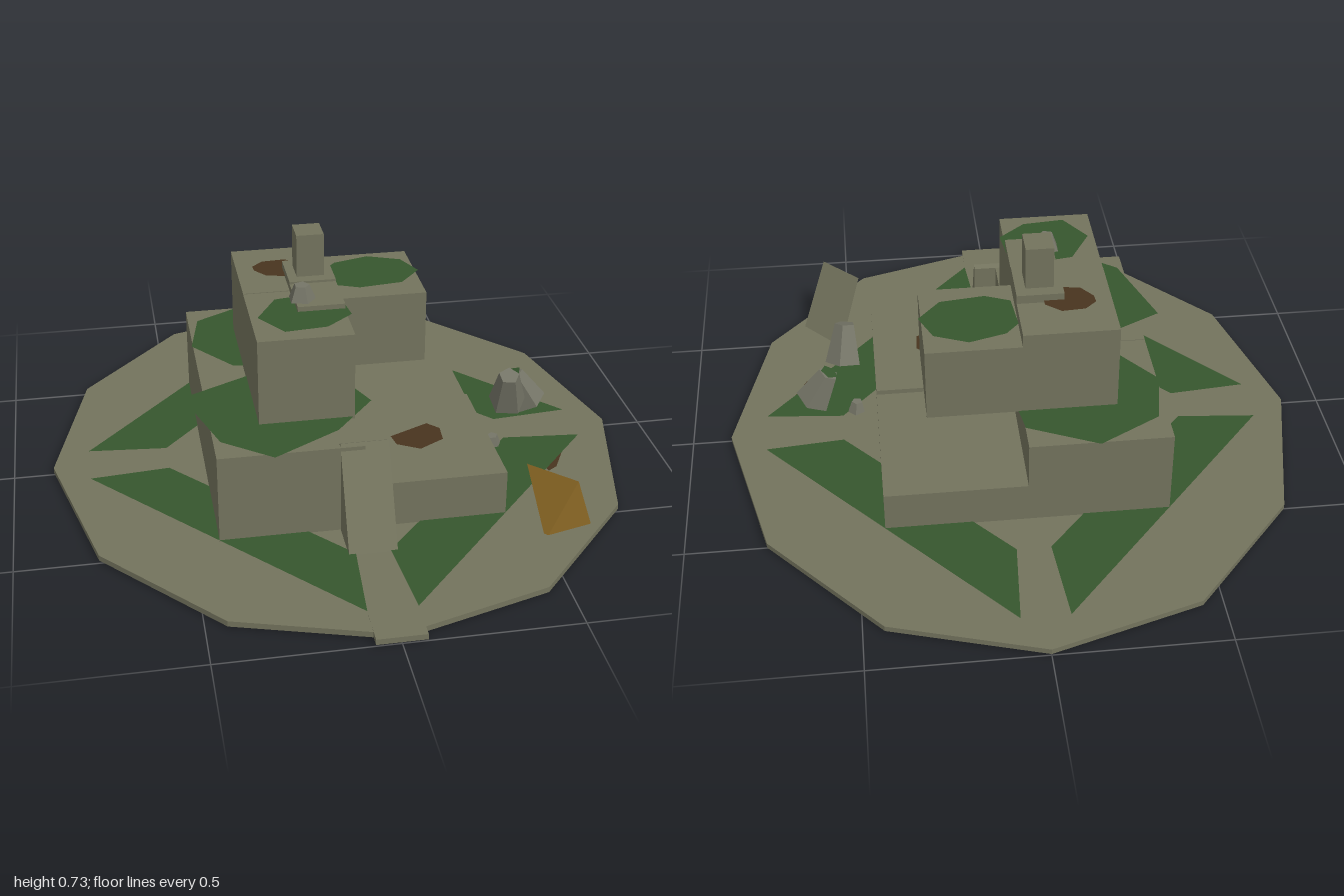
import * as THREE from 'three';

const mat = (name, color, side = THREE.FrontSide) => {
  const m = new THREE.MeshStandardMaterial({ color, side, flatShading: true });
  m.name = name;
  return m;
};

export function createModel() {
  const root = new THREE.Group();
  const stone = mat('olive stone', 0x73735d, THREE.DoubleSide);
  const moss = mat('moss green', 0x36562e, THREE.DoubleSide);
  const dirt = mat('brown dirt', 0x48341f, THREE.DoubleSide);
  const cloth = mat('ochre cloth', 0xa0782c, THREE.DoubleSide);
  const rockMat = mat('grey rock', 0x757567);

  const add = (name, geometry, material, parent = root) => {
    const mesh = new THREE.Mesh(geometry, material);
    mesh.name = name;
    parent.add(mesh);
    return mesh;
  };
  // Box given by its lower and upper limits
  const block = (name, x0, x1, y0, y1, z0, z1) => {
    const g = new THREE.BoxGeometry(x1 - x0, y1 - y0, z1 - z0);
    g.translate((x0 + x1) / 2, (y0 + y1) / 2, (z0 + z1) / 2);
    return add(name, g, stone);
  };
  // Flat polygon lying at height y, outlined by [x, z] points
  const patch = (name, y, points, material) => {
    const shape = new THREE.Shape(points.map(([x, z]) => new THREE.Vector2(x, -z)));
    const g = new THREE.ShapeGeometry(shape);
    g.rotateX(-Math.PI / 2);
    g.translate(0, y, 0);
    return add(name, g, material);
  };

  // Twelve-sided oval ground and entrance path
  const ground = new THREE.CylinderGeometry(1, 1, 0.017, 12);
  ground.scale(0.88, 1, 0.993);
  ground.translate(0, 0.0115, -0.006);
  add('ground', ground, stone);
  block('path', -0.07, 0.07, 0.004, 0.021, 0.55, 1);

  // Mirrored moss beds around the building
  const bed = [[0.07, 0.88], [0.05, 0.61], [0.53, 0.06], [0.77, 0.082]];
  for (const sx of [-1, 1]) {
    for (const sz of [-1, 1]) {
      patch('mossBed', 0.024, bed.map(([x, z]) => [x * sx, z * sz]), moss);
    }
  }
  patch('groundDirt', 0.022, [[0.6, 0.2], [0.615, 0.275], [0.645, 0.255], [0.7, 0.15]], dirt);

  // Lower tier, one block per quadrant
  block('lowerBackLeft', -0.42, 0, 0.01, 0.29, -0.48, 0);
  block('lowerFrontLeft', -0.42, 0, 0.01, 0.292, 0, 0.48);
  block('lowerBackRight', 0, 0.42, 0.01, 0.145, -0.48, 0);
  block('lowerFrontRight', 0, 0.42, 0.01, 0.16, 0, 0.48);

  // Upper tier, with the front quadrant missing
  block('upperBackLeft', -0.28, 0, 0.285, 0.565, -0.32, 0);
  block('upperFrontLeft', -0.28, 0, 0.285, 0.563, 0, 0.32);
  block('upperBackRight', 0, 0.28, 0.295, 0.525, -0.32, 0);

  // Roof slabs and turret
  block('roofSlabBack', -0.14, 0, 0.56, 0.592, -0.16, 0);
  block('roofSlabFront', -0.14, 0, 0.56, 0.585, 0, 0.16);
  block('turret', -0.113, -0.03, 0.585, 0.725, -0.123, -0.035);

  // Steep entrance ramp, extruded from its side profile
  const profile = new THREE.Shape([[-0.62, 0.01], [-0.47, 0.3], [-0.455, 0.292], [-0.455, 0.01]]
    .map(([z, y]) => new THREE.Vector2(z, y)));
  const ramp = new THREE.ExtrudeGeometry(profile, { depth: 0.14, bevelEnabled: false });
  ramp.rotateY(Math.PI / 2);
  ramp.translate(-0.07, 0, 0);
  add('ramp', ramp, stone);

  // Moss and dirt on the terraces
  patch('lowerBackMoss', 0.297, [[-0.39, -0.39], [-0.205, -0.495], [0, -0.4], [0.015, -0.3],
    [0, -0.15], [-0.15, -0.04], [-0.31, -0.058], [-0.425, -0.21]], moss);
  patch('lowerFrontMoss', 0.299, [[-0.485, 0.125], [-0.28, 0.02], [-0.1, 0.01], [0, 0.08],
    [0.065, 0.235], [-0.06, 0.39], [-0.26, 0.51], [-0.4, 0.4]], moss);
  patch('upperFrontMoss', 0.57, [[-0.26, 0.18], [-0.195, 0.065], [-0.1, 0.05], [0, 0.1],
    [0.012, 0.2], [-0.07, 0.27], [-0.195, 0.282]], moss);
  patch('upperRightMoss', 0.531, [[0, -0.21], [0.04, -0.255], [0.15, -0.287], [0.25, -0.245],
    [0.288, -0.155], [0.22, -0.075], [0.085, -0.058], [0.01, -0.09]], moss);
  patch('upperDirt', 0.571, [[-0.23, -0.18], [-0.195, -0.213], [-0.125, -0.218], [-0.08, -0.18],
    [-0.08, -0.12], [-0.14, -0.095], [-0.195, -0.105], [-0.228, -0.15]], dirt);
  patch('lowerDirt', 0.166, [[0.127, 0.228], [0.25, 0.17], [0.283, 0.205], [0.278, 0.27],
    [0.2, 0.315], [0.135, 0.277]], dirt);

  // Leaning shelter: a sloping panel closed by cloth faces
  const corner = {
    a: [0.455, 0.225, 0.545], b: [0.57, 0.225, 0.662], c: [0.657, 0, 0.567],
    d: [0.535, 0, 0.432], e: [0.505, 0, 0.607],
  };
  const faces = (list) => {
    const g = new THREE.BufferGeometry();
    const pos = list.flatMap((f) => [...f].flatMap((k) => corner[k]));
    g.setAttribute('position', new THREE.Float32BufferAttribute(pos, 3));
    g.computeVertexNormals();
    return g;
  };
  const shelter = new THREE.Group();
  shelter.name = 'shelter';
  root.add(shelter);
  add('shelterPanel', faces(['abc', 'acd']), stone, shelter);
  add('shelterCloth', faces(['aeb', 'bec', 'ade', 'ced']), cloth, shelter);

  // Tilted five-sided rocks, optionally capped with moss
  const rock = (name, [x, y, z], r, h, [rx, ry, rz], mossy) => {
    const group = new THREE.Group();
    group.name = name;
    group.position.set(x, y, z);
    group.rotation.set(rx, ry, rz);
    add('rockBody', new THREE.CylinderGeometry(r * 0.55, r, h, 5), rockMat, group);
    if (mossy) {
      const cap = new THREE.CircleGeometry(r * 0.5, 5);
      cap.rotateX(-Math.PI / 2);
      add('rockMoss', cap, moss, group).position.y = h / 2 + 0.004;
    }
    root.add(group);
  };
  rock('tallRock', [0.51, 0.248, 0.145], 0.058, 0.125, [0.35, 0.4, 0.1], false);
  rock('mossyRock', [0.59, 0.178, 0.02], 0.057, 0.115, [-0.15, 0.2, 0.5], true);
  rock('pebble', [0.485, 0.03, 0.09], 0.032, 0.05, [0, 0.5, 0.1], false);
  rock('roofRock', [-0.12, 0.607, 0.105], 0.042, 0.046, [0, 0.3, 0], false);

  return root;
}
